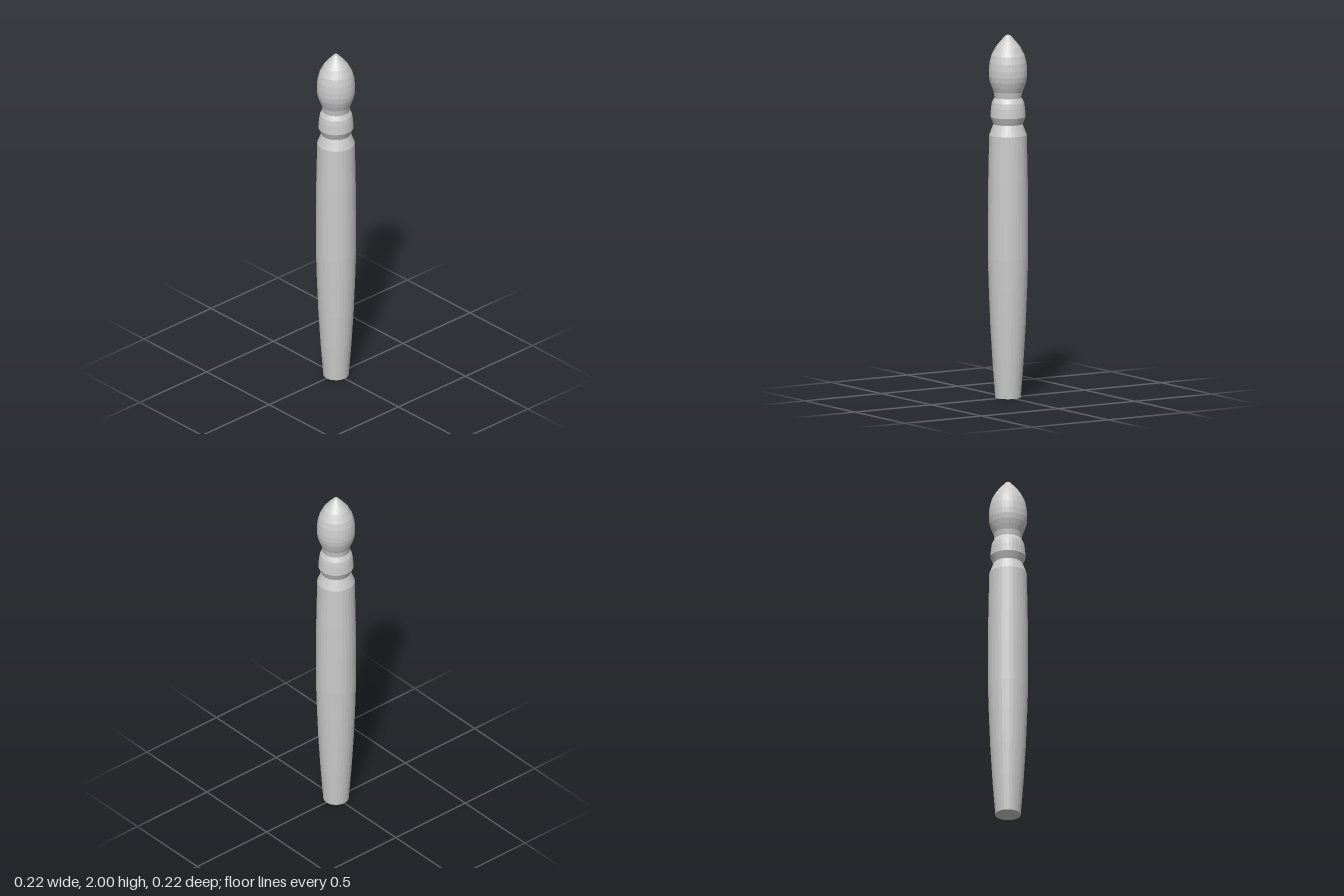
import * as THREE from 'three';

const SIDES = 32;

export function createModel() {
  const group = new THREE.Group();
  const material = new THREE.MeshStandardMaterial({ color: 0xcccccc, flatShading: true });

  // Each part is turned from a profile of [radius, height] points, bottom to top
  const turned = (name, profile) => {
    const points = profile.map(([r, y]) => new THREE.Vector2(r, y));
    const mesh = new THREE.Mesh(new THREE.LatheGeometry(points, SIDES), material);
    mesh.name = name;
    group.add(mesh);
  };

  // Tapered shaft with a closed foot and a chamfered shoulder
  turned('shaft', [
    [0, 0], [0.07, 0], [0.085, 0.2], [0.097, 0.4], [0.105, 0.6], [0.11, 0.77],
    [0.11, 1.0], [0.108, 1.2], [0.103, 1.45], [0.08, 1.51],
  ]);

  // Ring between the two necks
  turned('collar', [
    [0.08, 1.51], [0.097, 1.55], [0.093, 1.6], [0.088, 1.63], [0.074, 1.656],
  ]);

  // Bud-shaped finial with a small flat tip
  turned('finial', [
    [0.074, 1.656], [0.079, 1.688], [0.09, 1.715], [0.1, 1.745], [0.105, 1.775],
    [0.105, 1.81], [0.101, 1.85], [0.091, 1.89], [0.068, 1.935], [0.04, 1.97],
    [0.012, 2], [0, 2],
  ]);

  return group;
}
